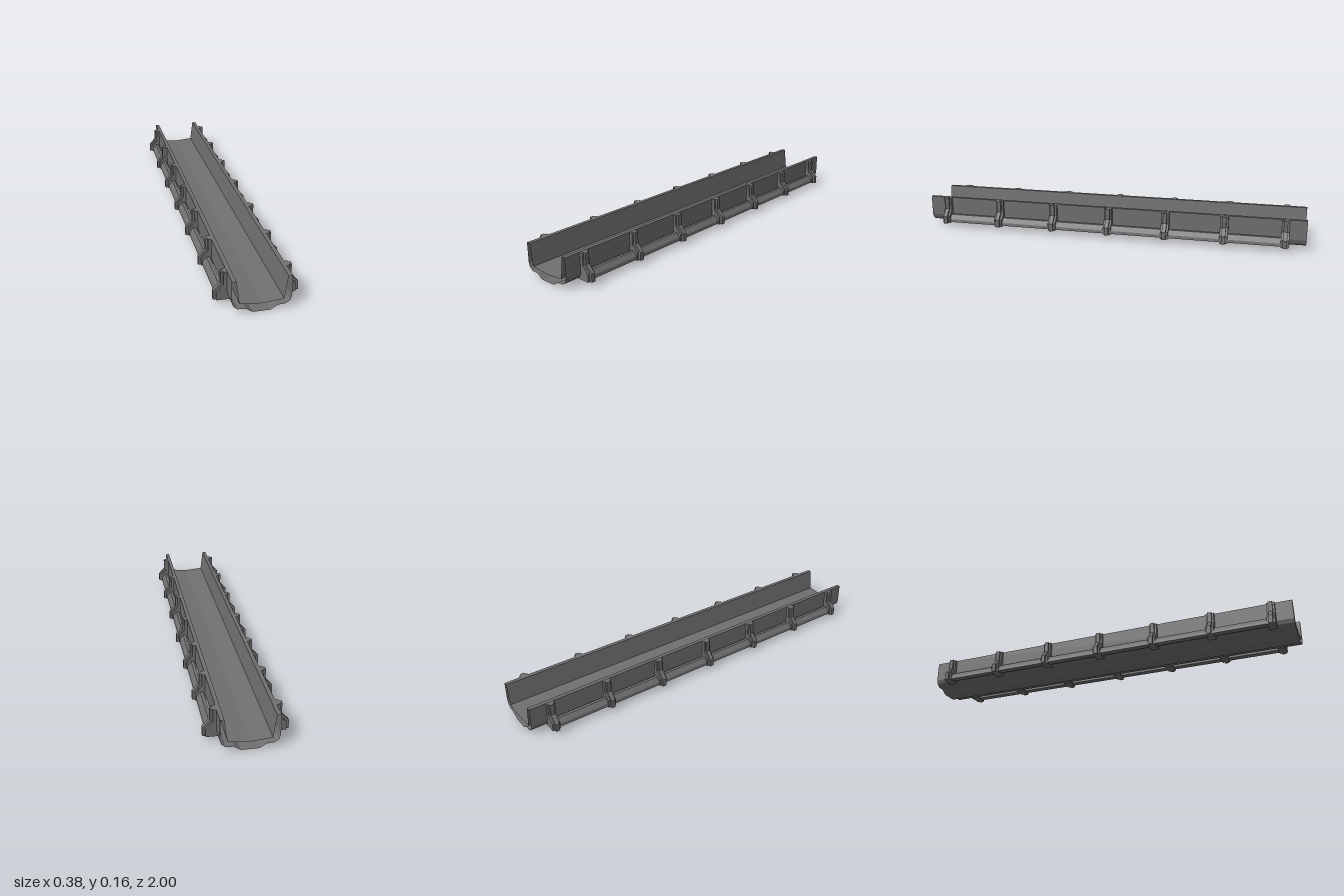
import * as THREE from 'three';

const material = new THREE.MeshStandardMaterial({ color: 0x707070, flatShading: true, side: THREE.DoubleSide });

function add(parent, name, geometry) {
  const mesh = new THREE.Mesh(geometry, material);
  mesh.name = name;
  parent.add(mesh);
}

// Prism along z from a counter-clockwise outline, centred on z = 0
function prism(points, depth) {
  const shape = new THREE.Shape(points.map(([x, y]) => new THREE.Vector2(x, y)));
  const geometry = new THREE.ExtrudeGeometry(shape, { depth, bevelEnabled: false });
  return geometry.translate(0, 0, -depth / 2);
}

// Open-ended tube along z: the outline's sides only, without end faces
function openPrism(points, depth) {
  const h = depth / 2;
  const positions = [];
  points.forEach(([ax, ay], i) => {
    const [bx, by] = points[(i + 1) % points.length];
    positions.push(ax, ay, -h, bx, by, -h, bx, by, h);
    positions.push(ax, ay, -h, bx, by, h, ax, ay, h);
  });
  const geometry = new THREE.BufferGeometry();
  geometry.setAttribute('position', new THREE.Float32BufferAttribute(positions, 3));
  geometry.computeVertexNormals();
  return geometry;
}

// Buttress: a broad body with a thinner fin standing proud of it
function createBracket() {
  const bracket = new THREE.Group();
  bracket.name = 'bracket';
  add(bracket, 'bracketBody', prism([
    [0.112, 0.023], [0.176, 0.023], [0.176, 0.061], [0.145, 0.095], [0.145, 0.154], [0.112, 0.154],
  ], 0.04));
  add(bracket, 'bracketFin', prism([
    [0.14, 0.023], [0.189, 0.023], [0.189, 0.063], [0.156, 0.099], [0.156, 0.154], [0.14, 0.154],
  ], 0.02));
  return bracket;
}

export function createModel() {
  const model = new THREE.Group();
  model.name = 'drainChannel';

  // Channel: keeled underside, upright outer walls, sloping inner walls and a shallow floor
  const right = [
    [0.04, 0], [0.07, 0.02], [0.105, 0.022], [0.123, 0.036], [0.13, 0.055], [0.13, 0.155],
    [0.111, 0.155], [0.097, 0.046],
  ];
  const left = right.map(([x, y]) => [-x, y]).reverse();
  add(model, 'channel', openPrism([...right, [0, 0.037], ...left], 2));

  // Seven brackets per side, joined by a side rail
  const side = (name) => {
    const group = new THREE.Group();
    group.name = name;
    for (let i = -3; i <= 3; i++) {
      const bracket = createBracket();
      bracket.position.z = i * 0.299;
      group.add(bracket);
    }
    add(group, 'sideRail', prism([
      [0.138, 0.028], [0.172, 0.028], [0.17, 0.043], [0.153, 0.066], [0.138, 0.066],
    ], 1.794));
    model.add(group);
    return group;
  };
  side('leftSide');
  side('rightSide').rotation.y = Math.PI;

  return model;
}
